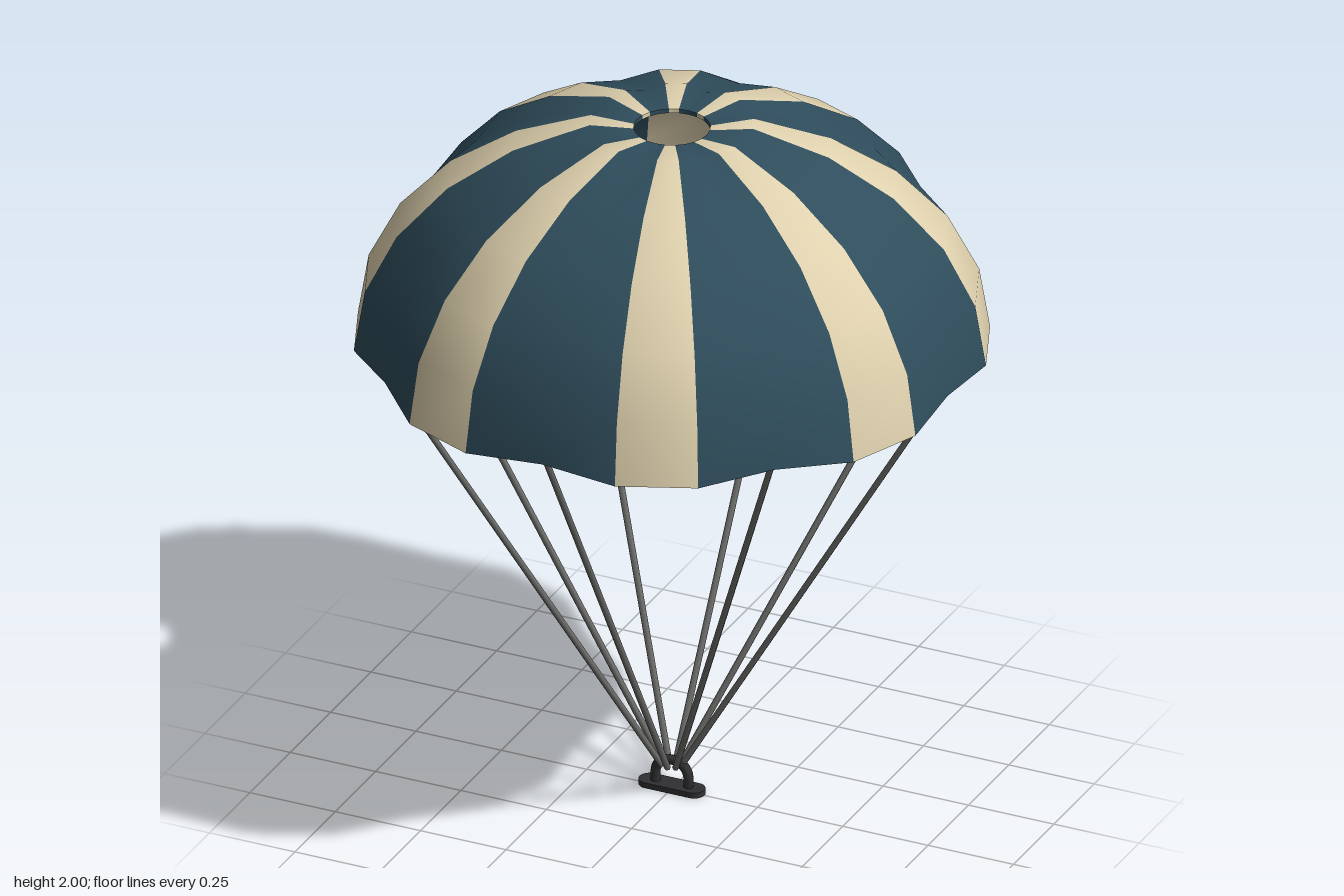
import * as THREE from 'three';

const navy = new THREE.MeshStandardMaterial({ name: 'navyCloth', color: 0x2f4d5c });
const cream = new THREE.MeshStandardMaterial({ name: 'creamCloth', color: 0xdfd1ae });
const cord = new THREE.MeshStandardMaterial({ name: 'greyCord', color: 0x6c6c6a });
const iron = new THREE.MeshStandardMaterial({ name: 'darkMetal', color: 0x303032 });

const COLS = 24; // 15 degree steps: each repeat is two navy columns and one cream

// Dome rings from rim to vent; pull = how far the navy gore centres sink inward
function domeRings(inset) {
  const rings = [];
  for (let i = 0; i < 6; i++) {
    const t = (i * Math.PI) / 12;
    rings.push({
      r: (0.845 - inset) * Math.cos(t),
      y: 1.35 + (0.673 - inset) * Math.sin(t),
      pull: 0.955,
      lift: i === 0 ? 0.012 : -0.012 * Math.sin(t),
    });
  }
  rings.push({ r: 0.102, y: 1.985 - inset, pull: 1, lift: 0 });
  return rings;
}

// Smooth skin through a list of rings, striped by column
function stripedSkin(name, rings) {
  const pos = [], navyIdx = [], creamIdx = [];
  rings.forEach(({ r, y, pull, lift }) => {
    for (let j = 0; j < COLS; j++) {
      const a = (j / COLS) * Math.PI * 2;
      const centre = j % 3 === 0;
      const rr = centre ? r * pull : r;
      pos.push(rr * Math.cos(a), y + (centre ? lift : 0), rr * Math.sin(a));
    }
  });
  for (let i = 0; i < rings.length - 1; i++) {
    for (let j = 0; j < COLS; j++) {
      const k = (j + 1) % COLS;
      const a = i * COLS + j, b = i * COLS + k;
      const c = a + COLS, d = b + COLS;
      (j % 3 === 1 ? creamIdx : navyIdx).push(a, c, b, b, c, d);
    }
  }
  const geo = new THREE.BufferGeometry();
  geo.setAttribute('position', new THREE.Float32BufferAttribute(pos, 3));
  geo.setIndex([...navyIdx, ...creamIdx]);
  geo.addGroup(0, navyIdx.length, 0);
  geo.addGroup(navyIdx.length, creamIdx.length, 1);
  geo.computeVertexNormals();
  const mesh = new THREE.Mesh(geo, [navy, cream]);
  mesh.name = name;
  return mesh;
}

function part(name, geo, mat) {
  const mesh = new THREE.Mesh(geo, mat);
  mesh.name = name;
  return mesh;
}

// Straight cord between two points
function rod(name, from, to, radius) {
  const dir = to.clone().sub(from);
  const mesh = part(name, new THREE.CylinderGeometry(radius, radius, dir.length(), 6), cord);
  mesh.position.copy(from).add(to).multiplyScalar(0.5);
  mesh.quaternion.setFromUnitVectors(new THREE.Vector3(0, 1, 0), dir.normalize());
  return mesh;
}

export function createModel() {
  const model = new THREE.Group();
  model.name = 'parachute';

  // Canopy: outer cloth, lining, rim hem and vent edge
  const canopy = new THREE.Group();
  canopy.name = 'canopy';
  const outer = domeRings(0), inner = domeRings(0.012);
  canopy.add(
    stripedSkin('outerCloth', outer),
    stripedSkin('lining', [...inner].reverse()),
    stripedSkin('rimHem', [inner[0], outer[0]]),
    stripedSkin('ventEdge', [outer[6], inner[6]]),
  );
  model.add(canopy);

  // Eight suspension lines, one under each navy gore
  const lines = new THREE.Group();
  lines.name = 'suspensionLines';
  for (let i = 0; i < 8; i++) {
    const a = (i * Math.PI) / 4;
    const at = (r, y) => new THREE.Vector3(r * Math.cos(a), y, r * Math.sin(a));
    lines.add(rod('suspensionLine', at(0.028, 0.075), at(0.788, 1.372), 0.009));
  }
  model.add(lines);

  // Harness buckle: flat base plate with rounded ends and an upright loop
  const buckle = new THREE.Group();
  buckle.name = 'harnessBuckle';
  const plate = new THREE.Shape();
  plate.absarc(0.065, 0, 0.03, -Math.PI / 2, Math.PI / 2, false);
  plate.absarc(-0.065, 0, 0.03, Math.PI / 2, Math.PI * 1.5, false);
  const base = part('basePlate', new THREE.ExtrudeGeometry(plate, { depth: 0.016, bevelEnabled: false, curveSegments: 8 }), iron);
  base.rotation.x = -Math.PI / 2;
  buckle.add(base);

  const path = new THREE.CatmullRomCurve3(
    [[-0.048, 0.008], [-0.046, 0.055], [-0.028, 0.08], [0, 0.086], [0.028, 0.08], [0.046, 0.055], [0.048, 0.008]]
      .map(([x, y]) => new THREE.Vector3(x, y, 0)),
  );
  buckle.add(part('loop', new THREE.TubeGeometry(path, 24, 0.014, 8, false), iron));
  model.add(buckle);

  return model;
}
